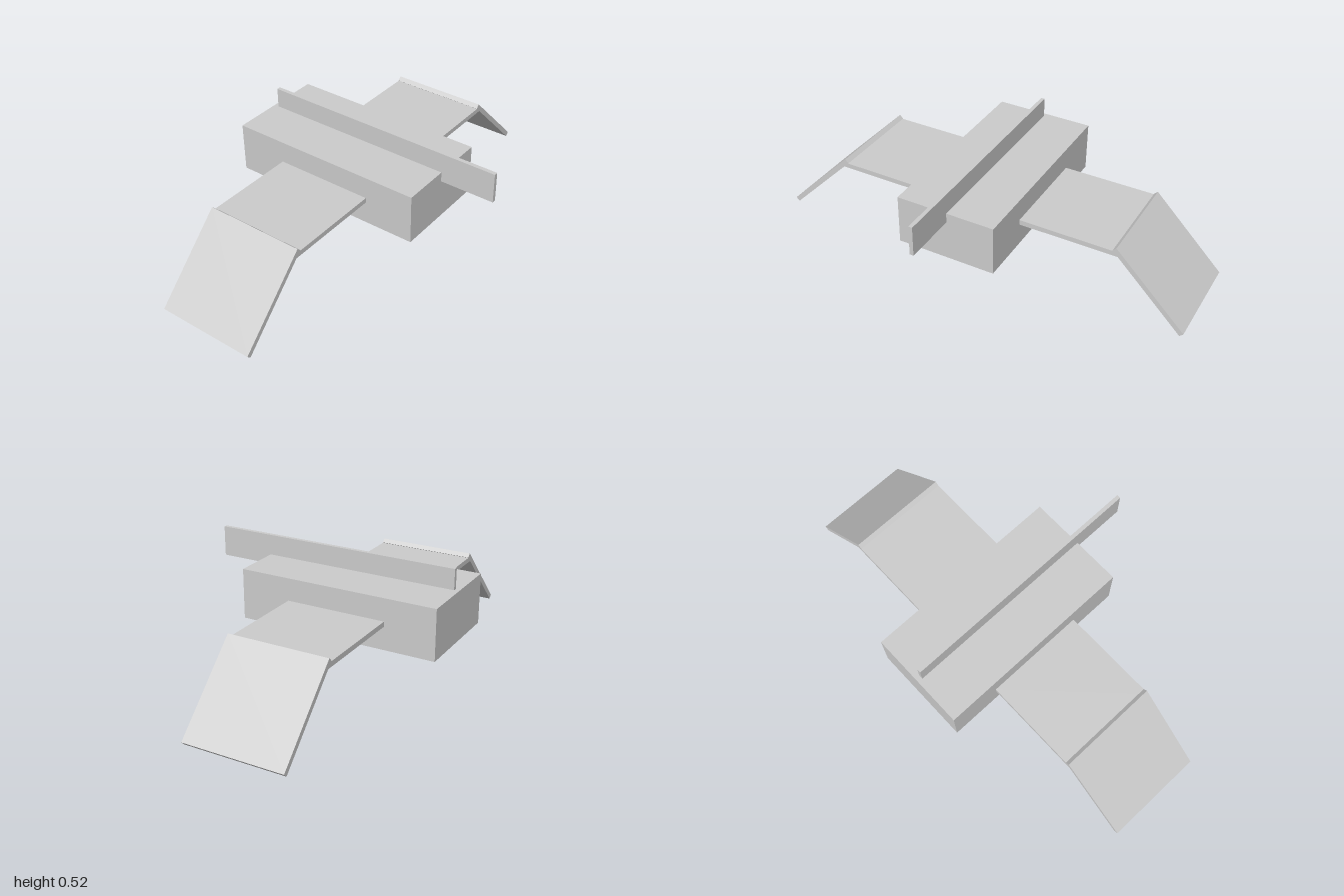
import * as THREE from 'three';

export function createModel() {
  const model = new THREE.Group();
  const material = new THREE.MeshStandardMaterial({ color: 0xcccccc, flatShading: true });

  function addBox(name, size, position, roll = 0) {
    const mesh = new THREE.Mesh(new THREE.BoxGeometry(...size), material);
    mesh.name = name;
    mesh.position.set(...position);
    mesh.rotation.z = roll;
    model.add(mesh);
  }

  const thickness = 0.023;
  const chord = 0.46;
  const wingZ = -0.126;

  // Central body and the long upright fin along its top
  addBox('body', [0.46, 0.23, 0.922], [0, 0.311, -0.126]);
  addBox('topFin', [0.018, 0.138, 1.152], [0, 0.45, 0.011]);

  // Flat inner wings and drooping outer wings, mirrored
  for (const [side, label] of [[1, 'left'], [-1, 'right']]) {
    addBox(label + 'InnerWing', [0.46, thickness, chord], [side * 0.46, 0.312, wingZ]);
    addBox(label + 'OuterWing', [0.46, thickness, chord], [side * 0.829, 0.171, wingZ], -side * Math.PI / 4);
  }

  return model;
}
